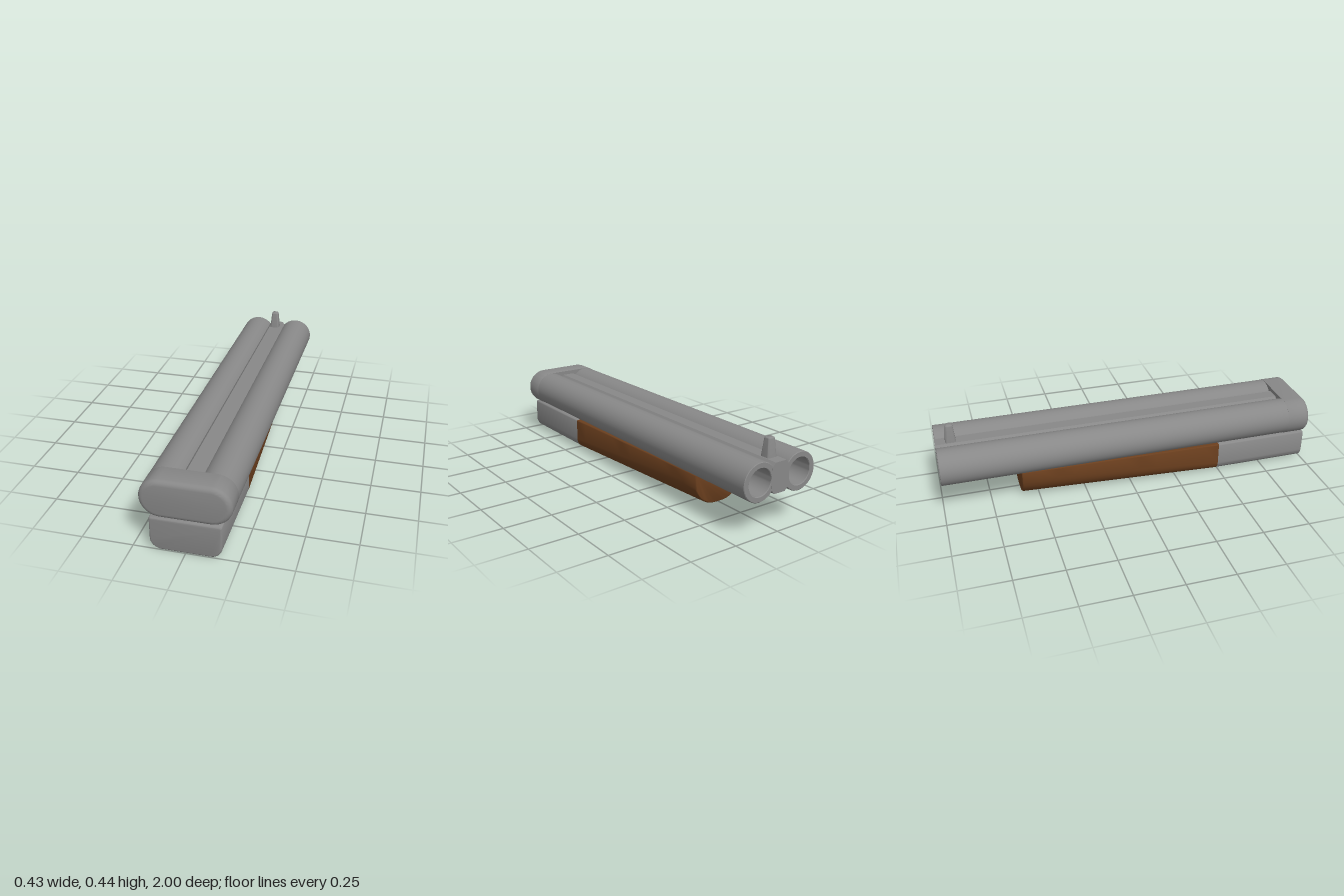
import * as THREE from 'three';
import { toCreasedNormals } from 'three/addons/utils/BufferGeometryUtils.js';

const metal = new THREE.MeshStandardMaterial({ color: 0x888888 });
const wood = new THREE.MeshStandardMaterial({ color: 0x6b3f1e });
const AXIS_Y = 0.266;

// Counter-clockwise rounded rectangle: separate corner radii for top and bottom
function roundedRing(halfW, y0, y1, rTop, rBottom, z, steps = 10) {
  const corners = [
    [halfW - rTop, y1 - rTop, rTop], [-halfW + rTop, y1 - rTop, rTop],
    [-halfW + rBottom, y0 + rBottom, rBottom], [halfW - rBottom, y0 + rBottom, rBottom],
  ];
  const ring = [];
  corners.forEach(([cx, cy, r], q) => {
    for (let i = 0; i <= steps; i++) {
      const a = (q + i / steps) * Math.PI / 2;
      ring.push([cx + r * Math.cos(a), cy + r * Math.sin(a), z]);
    }
  });
  return ring;
}

// Skin rings ordered from back (-z) to front (+z), closed by fans at both ends
function loft(rings, crease = 0.6) {
  const n = rings[0].length, pos = rings.flat(2), index = [];
  for (let r = 0; r < rings.length - 1; r++) {
    for (let i = 0; i < n; i++) {
      const a = r * n + i, b = r * n + (i + 1) % n;
      index.push(a, b, b + n, a, b + n, a + n);
    }
  }
  const last = (rings.length - 1) * n;
  for (let i = 1; i < n - 1; i++) {
    index.push(0, i + 1, i);
    index.push(last, last + i, last + i + 1);
  }
  const g = new THREE.BufferGeometry();
  g.setAttribute('position', new THREE.Float32BufferAttribute(pos, 3));
  g.setIndex(index);
  return toCreasedNormals(g, crease);
}

// Quarter-round edge as [inset, distance from the end face], ending at the face
function edgeSteps(radius, count = 5) {
  return Array.from({ length: count + 1 }, (_, i) => {
    const a = i / count * Math.PI / 2;
    return [radius * (1 - Math.cos(a)), radius * (1 - Math.sin(a))];
  });
}

export function createModel() {
  const model = new THREE.Group();
  const add = (name, geometry, material = metal) => {
    const mesh = new THREE.Mesh(geometry, material);
    mesh.name = name;
    model.add(mesh);
    return mesh;
  };

  // Twin hollow barrels, muzzles at the back; profile runs up the outer wall, then down the bore
  const profile = [
    [0.095, -0.9], [0.095, 0.996], [0.092, 0.999], [0.069, 0.999],
    [0.066, 0.996], [0.066, -0.8], [0.001, -0.8],
  ].map(([r, h]) => new THREE.Vector2(r, h));
  const tube = new THREE.LatheGeometry(profile, 48);
  tube.rotateX(-Math.PI / 2);
  const barrelGeometry = toCreasedNormals(tube, 0.6);
  for (const side of [1, -1]) {
    const barrel = add(side > 0 ? 'leftBarrel' : 'rightBarrel', barrelGeometry);
    barrel.position.set(side * 0.12, AXIS_Y, 0);
  }

  // Eight-sided rib between the barrels
  const ribPoints = [[0.032, 0.075], [0.053, 0.052], [0.053, -0.052], [0.032, -0.075]];
  const rib = new THREE.Shape([
    ...ribPoints, ...ribPoints.map(([x, y]) => [-x, y]).reverse(),
  ].map(([x, y]) => new THREE.Vector2(x, y)));
  const ribGeometry = new THREE.ExtrudeGeometry(rib, { depth: 1.9, bevelEnabled: false });
  add('barrelRib', ribGeometry).position.set(0, AXIS_Y, -1);

  // Stadium-shaped breech cap with a softened front edge
  const breechRing = (inset, z) => {
    const r = 0.097 - inset;
    return roundedRing(0.216 - inset, AXIS_Y - r, AXIS_Y + r, r, r, z, 14);
  };
  add('breech', loft([
    breechRing(0.001, 0.875),
    breechRing(0, 0.878),
    ...edgeSteps(0.025).map(([inset, dz]) => breechRing(inset, 1 - dz)),
  ]));

  // Receiver block under the breech
  const receiverRing = (inset, z) =>
    roundedRing(0.169 - inset, inset, 0.169 - inset, 0.008, 0.055 - inset, z);
  add('receiver', loft([
    receiverRing(0, 0.49),
    ...edgeSteps(0.008, 3).map(([inset, dz]) => receiverRing(inset, 1 - dz)),
  ]));

  // Wooden fore-end, narrowing and rounding towards a softened end
  const foreEndRing = (inset, z) => {
    const t = (z + 0.59) / 1.08;
    const halfW = THREE.MathUtils.lerp(0.146, 0.17, t);
    const radius = THREE.MathUtils.lerp(0.125, 0.055, t);
    return roundedRing(halfW - inset, inset, 0.17, 0.006, radius - inset, z);
  };
  const foreEndRings = edgeSteps(0.008, 4).reverse()
    .map(([inset, dz]) => foreEndRing(inset, -0.59 + dz));
  for (let i = 1; i <= 12; i++) foreEndRings.push(foreEndRing(0, -0.582 + 1.072 * i / 12));
  add('foreEnd', loft(foreEndRings), wood);

  // Tapered front sight on the rib
  const sightRings = [[0.028, 0], [0.019, 0.097], [0.0175, 0.102], [0.014, 0.105]]
    .map(([w, h]) => roundedRing(w, -w, w, 0.009, 0.009, h, 5));
  const sightGeometry = loft(sightRings, 0.8);
  sightGeometry.rotateX(-Math.PI / 2);
  add('frontSight', sightGeometry).position.set(0, 0.33, -0.92);

  return model;
}
